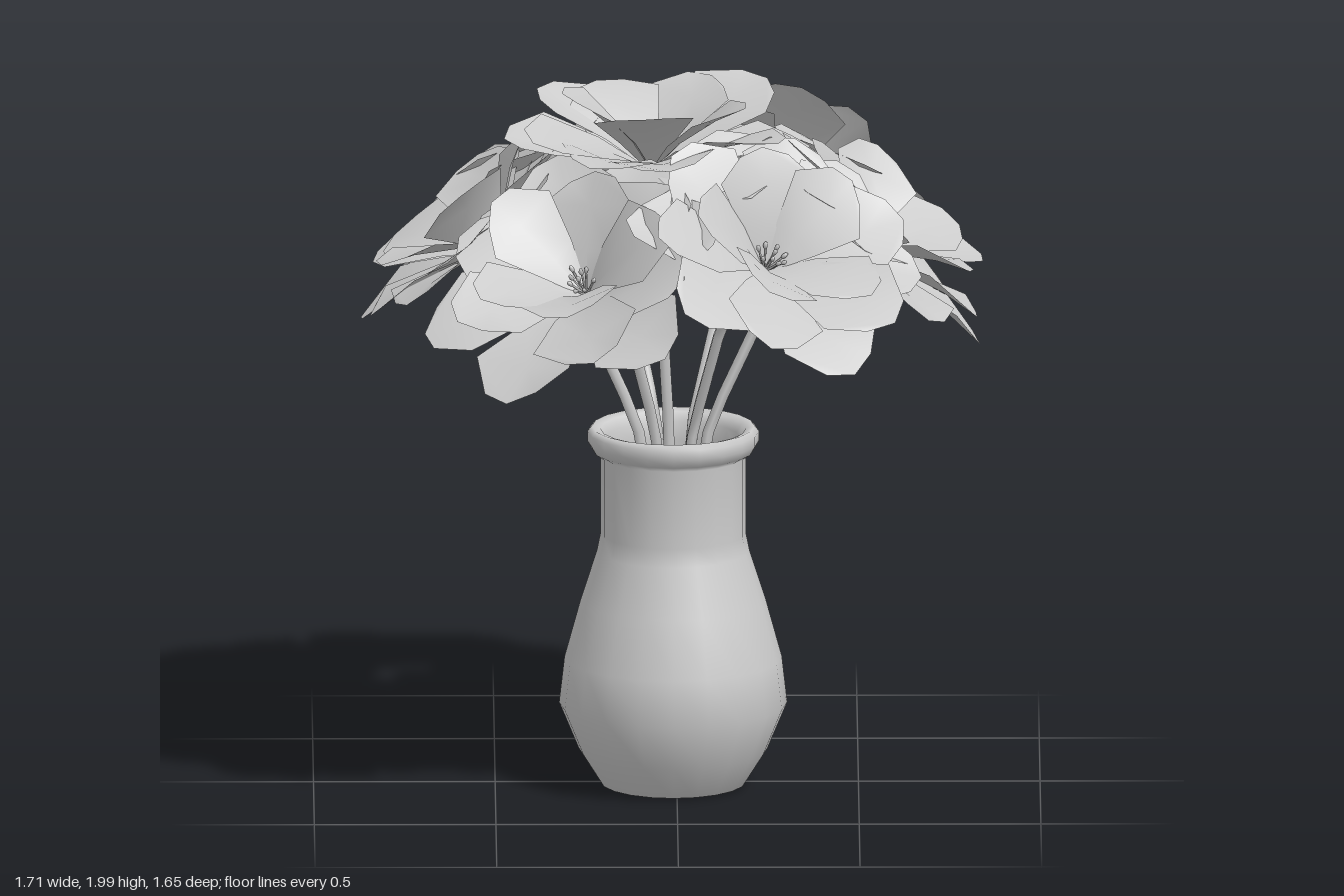
import * as THREE from 'three';
import { mergeGeometries } from 'three/addons/utils/BufferGeometryUtils.js';

const grey = new THREE.MeshStandardMaterial({ color: 0xcccccc, side: THREE.DoubleSide });
const VX = -0.01, VZ = 0.02; // vase axis

// Small seeded generator, returns -1..1
function makeRandom(seed) {
  let s = seed;
  return () => {
    s = (s * 16807) % 2147483647;
    return (s / 2147483647) * 2 - 1;
  };
}

// One petal: narrow at the base, broad angular end, folded along its middle, pointing to +z
function petalGeometry(length, width, skew) {
  const rows = [[0, 0.06], [0.35, 0.55], [0.72, 1], [1, 0.5]];
  const pos = [], index = [];
  rows.forEach(([t, w], r) => {
    for (let u = -1; u <= 1; u++) {
      const shoulder = t === 1 ? 0.07 + 0.05 * skew * u : 0.04 * skew * u * t;
      pos.push(
        u * w * width / 2,
        0.025 * u * u * w + length * 0.06 * Math.sin(Math.PI * t),
        length * (t - shoulder * Math.abs(u))
      );
      if (r > 0 && u > -1) {
        const b = r * 3 + u + 1, a = b - 1;
        index.push(a - 3, a, b, a - 3, b, b - 3);
      }
    }
  });
  const g = new THREE.BufferGeometry();
  g.setAttribute('position', new THREE.Float32BufferAttribute(pos, 3));
  g.setIndex(index);
  g.computeVertexNormals();
  return g;
}

// Three layers of petals opening around +y
function blossomGeometry(rand) {
  const layers = [
    // count, length, width, elevation, first angle
    [5, 0.36, 0.28, 0.66, Math.PI],
    [6, 0.42, 0.30, 0.38, Math.PI + 0.5],
    [6, 0.44, 0.30, 0.18, Math.PI],
  ];
  const petals = [];
  layers.forEach(([count, length, width, lift, first]) => {
    for (let i = 0; i < count; i++) {
      const g = petalGeometry(length * (1 + 0.05 * rand()), width * (1 + 0.08 * rand()), rand());
      g.rotateZ(0.2 * rand());
      g.rotateX(-lift + 0.12 * rand());
      g.rotateY(first + (i / count) * Math.PI * 2 + 0.12 * rand());
      petals.push(g);
    }
  });
  return mergeGeometries(petals);
}

// Thin filaments with small tips in the heart of a flower
function stamenGeometry(rand) {
  const parts = [];
  for (let i = 0; i < 9; i++) {
    const h = 0.08 + 0.015 * rand();
    const filament = new THREE.CylinderGeometry(0.003, 0.004, h, 4).translate(0, h / 2, 0);
    const tip = new THREE.SphereGeometry(0.009, 5, 4).scale(0.8, 1.3, 0.8).translate(0, h, 0);
    const g = mergeGeometries([filament, tip]);
    g.rotateX(i === 0 ? 0 : 0.42 + 0.2 * rand());
    g.rotateY(i * 0.8);
    parts.push(g);
  }
  return mergeGeometries(parts);
}

function createVase() {
  const profile = [
    [0, 0.04], [0.12, 0.035], [0.165, 0.015], [0.18, 0], [0.2, 0.005], [0.26, 0.1], [0.314, 0.23],
    [0.299, 0.36], [0.255, 0.52], [0.21, 0.66], [0.2, 0.71], [0.2, 0.93], [0.222, 0.945],
    [0.236, 0.97], [0.236, 0.998], [0.224, 1.012], [0.2, 1.005], [0.183, 0.98], [0.18, 0.93],
    [0.18, 0.71], [0.235, 0.52], [0.285, 0.25], [0.18, 0.06], [0, 0.06],
  ].map(([x, y]) => new THREE.Vector2(x, y));
  const vase = new THREE.Mesh(new THREE.LatheGeometry(profile, 20), grey);
  vase.name = 'vase';
  vase.position.set(VX, 0, VZ);
  return vase;
}

// Stem rising out of the vase and bending into the back of a flower
function createStem(base) {
  const dx = base.x - VX, dz = base.z - VZ;
  const along = (f, y) => new THREE.Vector3(VX + dx * f, y, VZ + dz * f);
  const curve = new THREE.CurvePath();
  const pts = [along(0.05, 0.12), along(0.08, 0.65), along(0.21, 1.02), along(0.56, 1.38), base.clone()];
  for (let i = 1; i < pts.length; i++) curve.add(new THREE.LineCurve3(pts[i - 1], pts[i]));
  const stem = new THREE.Mesh(new THREE.TubeGeometry(curve, 14, 0.016, 5), grey);
  stem.name = 'stem';
  return stem;
}

function createFlower(x, y, z, azimuth, tilt, seed) {
  const rand = makeRandom(seed);
  const flower = new THREE.Group();
  flower.name = 'flower';
  const head = new THREE.Group();
  head.name = 'flowerHead';
  head.position.set(x, y, z);
  head.rotation.set(tilt, azimuth, 0, 'YXZ');

  const petals = new THREE.Mesh(blossomGeometry(rand), grey);
  petals.name = 'petals';
  const stamens = new THREE.Mesh(stamenGeometry(rand), grey);
  stamens.name = 'stamens';
  head.add(petals, stamens);

  flower.add(head, createStem(head.position));
  return flower;
}

export function createModel() {
  const model = new THREE.Group();
  model.name = 'vaseOfFlowers';
  model.add(createVase());

  // Upright flower in the middle
  model.add(createFlower(-0.07, 1.745, 0.06, 0.6, 0.05, 11));

  // Ring of six leaning outwards: x, y, z of the flower base
  const ring = [
    [0.47, 1.49, 0.0], [0.24, 1.54, 0.39], [-0.25, 1.48, 0.42],
    [-0.48, 1.50, -0.02], [-0.24, 1.49, -0.38], [0.25, 1.55, -0.41],
  ];
  ring.forEach(([x, y, z], i) => {
    model.add(createFlower(x, y, z, Math.atan2(x, z), 0.69, 101 + i * 977));
  });
  return model;
}
